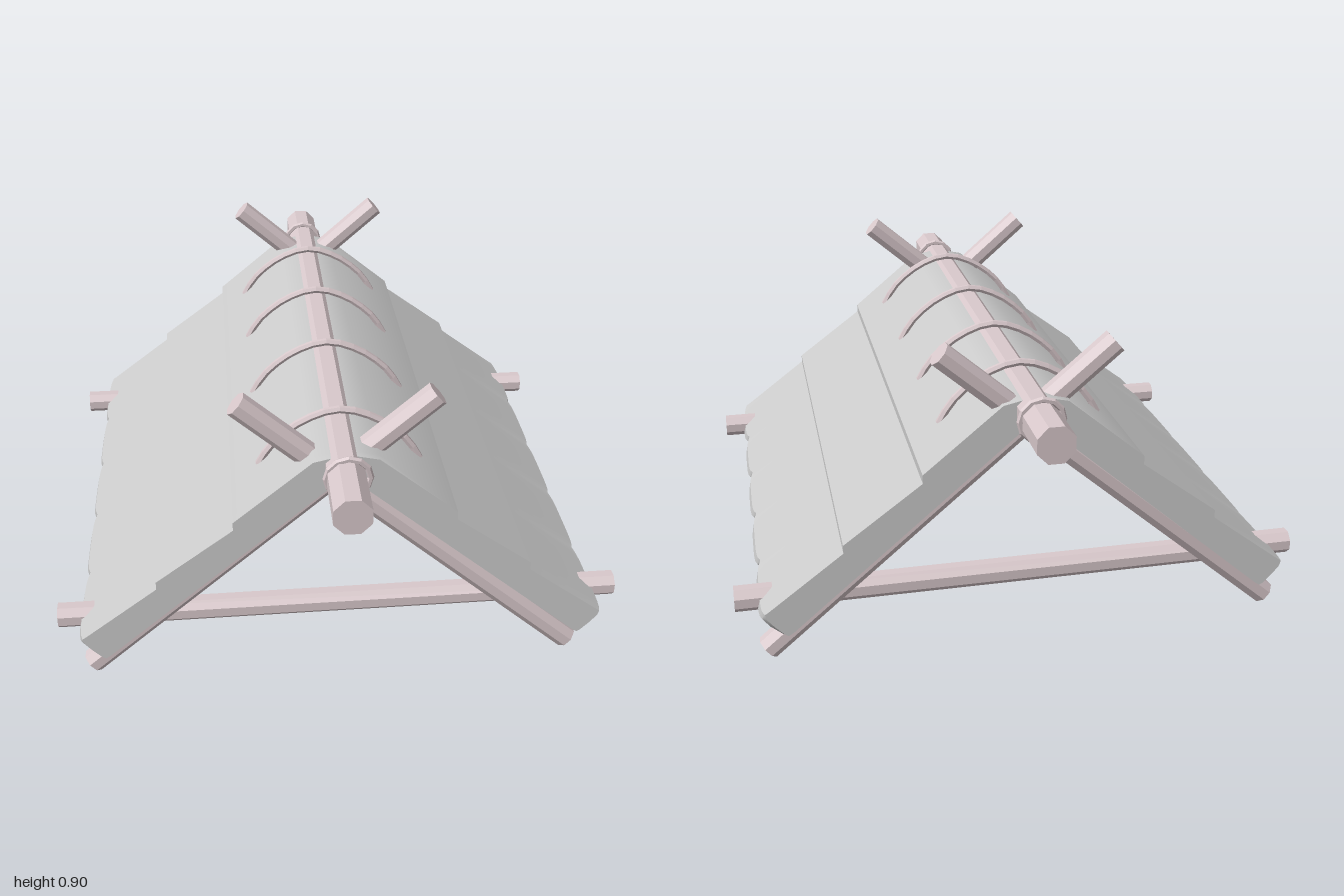
import * as THREE from 'three';
import { toCreasedNormals } from 'three/addons/utils/BufferGeometryUtils.js';

const wood = new THREE.MeshStandardMaterial({ color: 0xd9c9cc, flatShading: true });
const thatchMaterial = new THREE.MeshStandardMaterial({ color: 0xcccccc });

// Eight-sided pole between two points
function pole(name, a, b, radius) {
  const from = new THREE.Vector3(...a);
  const to = new THREE.Vector3(...b);
  const dir = to.clone().sub(from);
  const geometry = new THREE.CylinderGeometry(radius, radius, dir.length(), 8);
  geometry.rotateY(Math.PI / 8);
  const mesh = new THREE.Mesh(geometry, wood);
  mesh.name = name;
  mesh.position.copy(from).add(to).multiplyScalar(0.5);
  mesh.quaternion.setFromUnitVectors(new THREE.Vector3(0, 1, 0), dir.normalize());
  return mesh;
}

// Stepped roof covering, its eaves divided into rounded bundles
function thatchRoof() {
  const length = 1.55, bundles = 5;
  const outer = [
    [0.09, 0.737], [0.31, 0.555], [0.31, 0.53], [0.53, 0.367], [0.53, 0.343],
    [0.742, 0.183], [0.76, 0.17], [0.766, 0.145], [0.745, 0.118],
    [0.715, 0.096], [0.7, 0.095], [0.675, 0.113],
  ];
  const mirrored = outer.map(([x, y]) => [-x, y]).reverse();
  const outline = [[0, 0.757], ...outer, [0, 0.692], ...mirrored];
  const shape = new THREE.Shape(outline.map(([x, y]) => new THREE.Vector2(x, y)));
  const geometry = new THREE.ExtrudeGeometry(shape, {
    depth: length, steps: bundles * 12, bevelEnabled: false,
  });
  geometry.translate(0, 0, -length / 2);

  // Pull the eave tips back where two bundles meet
  const p = geometry.attributes.position;
  const sx = 0.77, sy = -0.64, eave = 0.455;
  for (let i = 0; i < p.count; i++) {
    const side = Math.sign(p.getX(i));
    const x = Math.abs(p.getX(i)), y = p.getY(i);
    const past = x * sx + y * sy - eave;
    if (past <= 0) continue;
    const t = (p.getZ(i) / length + 0.5) * bundles;
    const u = Math.abs(2 * (t - Math.floor(t + 1e-5)) - 1);
    const pull = past * 0.65 * Math.pow(u, 5);
    p.setXY(i, side * (x - sx * pull), y - sy * pull);
  }
  const mesh = new THREE.Mesh(toCreasedNormals(geometry, 0.5), thatchMaterial);
  mesh.name = 'thatchRoof';
  return mesh;
}

// Thin rod bent over the ridge
function ridgeStaple(z) {
  const points = [
    [-0.23, 0.615], [-0.19, 0.68], [-0.1, 0.752], [0, 0.783],
    [0.1, 0.752], [0.19, 0.68], [0.23, 0.615],
  ].map(([x, y]) => new THREE.Vector3(x, y, z + x * 0.01));
  const curve = new THREE.CatmullRomCurve3(points);
  const mesh = new THREE.Mesh(new THREE.TubeGeometry(curve, 14, 0.011, 6), wood);
  mesh.name = 'ridgeStaple';
  return mesh;
}

// Cord tied round the ridge pole
function lashing(z, tilt) {
  const mesh = new THREE.Mesh(new THREE.TorusGeometry(0.06, 0.009, 6, 12), wood);
  mesh.name = 'ridgeLashing';
  mesh.position.set(0, 0.712, z);
  mesh.rotation.x = tilt;
  return mesh;
}

export function createModel() {
  const group = new THREE.Group();
  group.name = 'thatchedShelterRoof';

  group.add(thatchRoof());
  group.add(pole('ridgePole', [-0.007, 0.712, 1], [0.004, 0.712, -1], 0.055));

  // Crossed rafters at both ends
  group.add(
    pole('frontRafterLeft', [-0.29, 0.88, 0.69], [0.68, 0.03, 0.705], 0.036),
    pole('frontRafterRight', [0.255, 0.88, 0.68], [-0.735, 0.035, 0.7], 0.036),
    pole('backRafterLeft', [-0.23, 0.88, -0.72], [0.745, 0.03, -0.7], 0.036),
    pole('backRafterRight', [0.255, 0.88, -0.73], [-0.735, 0.035, -0.7], 0.036),
  );

  // Tie beams
  group.add(
    pole('frontTieBeam', [-0.83, 0.163, 0.64], [0.83, 0.163, 0.627], 0.037),
    pole('backTieBeam', [-0.83, 0.163, -0.63], [0.83, 0.163, -0.645], 0.037),
  );

  for (const z of [0.577, 0.163, -0.223, -0.572]) group.add(ridgeStaple(z));
  group.add(lashing(0.817, 0.05), lashing(-0.833, -0.05));

  return group;
}
